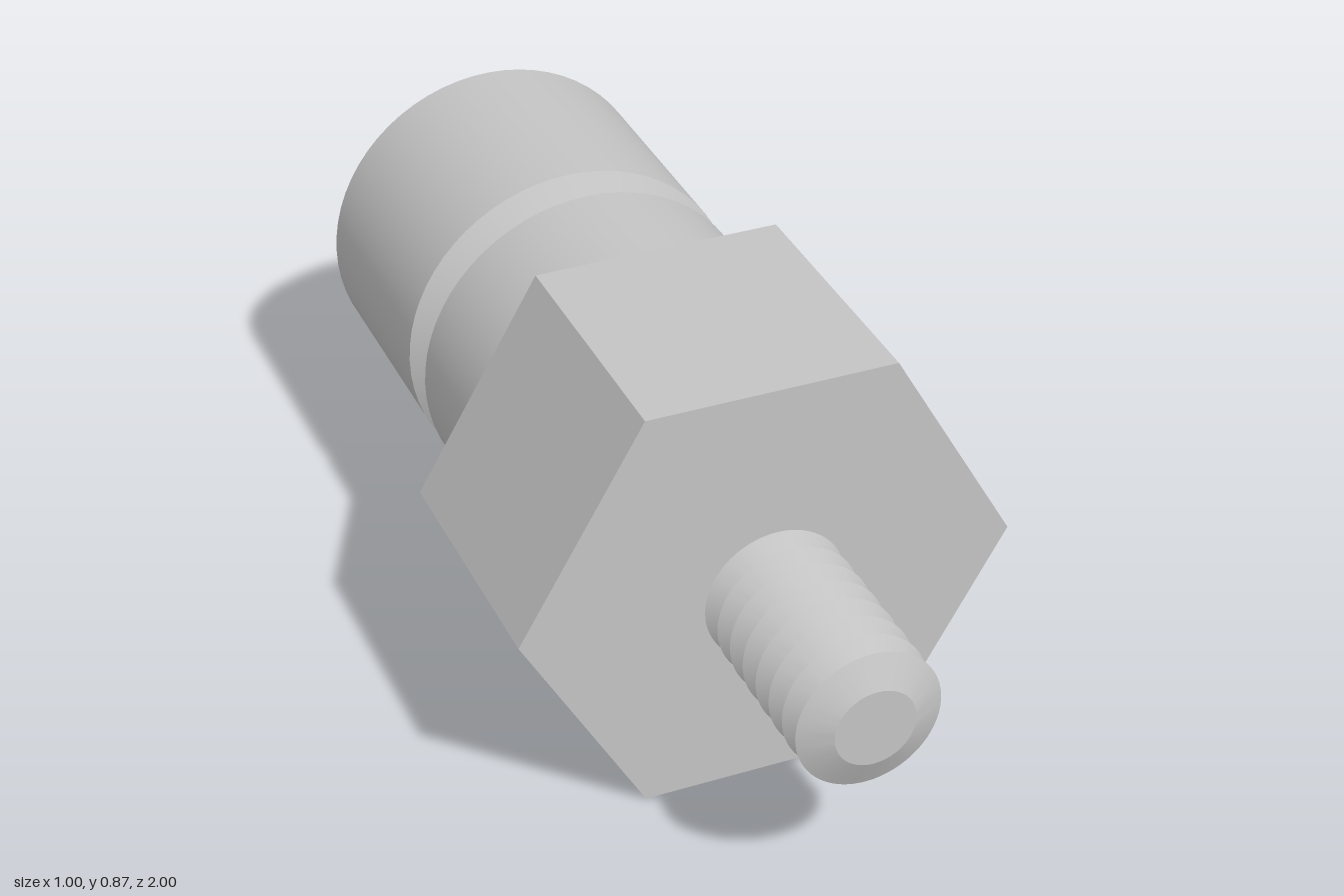
import * as THREE from 'three';
import { toCreasedNormals } from 'three/addons/utils/BufferGeometryUtils.js';

export function createModel() {
  const model = new THREE.Group();
  const steel = new THREE.MeshStandardMaterial({ color: 0xc4c4c4 });
  steel.name = 'steel grey';
  const axisHeight = 0.433;

  function add(name, geometry) {
    const mesh = new THREE.Mesh(geometry, steel);
    mesh.name = name;
    mesh.position.y = axisHeight;
    model.add(mesh);
  }

  // Turned part along z, from [radius, z] pairs running back to front
  function turned(name, profile) {
    const points = profile.map(([r, z]) => new THREE.Vector2(r, z));
    const geometry = new THREE.LatheGeometry(points, 64).rotateX(Math.PI / 2);
    add(name, toCreasedNormals(geometry, 0.4));
  }

  // Hexagonal collar with corners on the left and right
  const hexagon = new THREE.Shape();
  for (let i = 0; i < 6; i++) {
    const a = i * Math.PI / 3;
    hexagon[i ? 'lineTo' : 'moveTo'](0.5 * Math.cos(a), 0.5 * Math.sin(a));
  }
  hexagon.closePath();
  add('hexCollar', new THREE.ExtrudeGeometry(hexagon, { depth: 0.543, bevelEnabled: false }));

  // Cylindrical body with a V groove and a chamfered back end
  turned('groovedBody', [
    [0, -1], [0.3, -1], [0.362, -0.94], [0.362, -0.457],
    [0.292, -0.409], [0.362, -0.361], [0.362, 0], [0, 0],
  ]);

  // Threaded stud: evenly spaced ridges, then a tapered tip
  const crests = 8, first = 0.572, pitch = 0.057;
  const thread = [[0, 0.53], [0.108, 0.53], [0.108, first - pitch / 2]];
  for (let i = 0; i < crests; i++) {
    const z = first + i * pitch;
    thread.push([0.143, z]);
    if (i < crests - 1) thread.push([0.108, z + pitch / 2]);
  }
  thread.push([0.08, 1], [0, 1]);
  turned('threadedStud', thread);

  return model;
}
